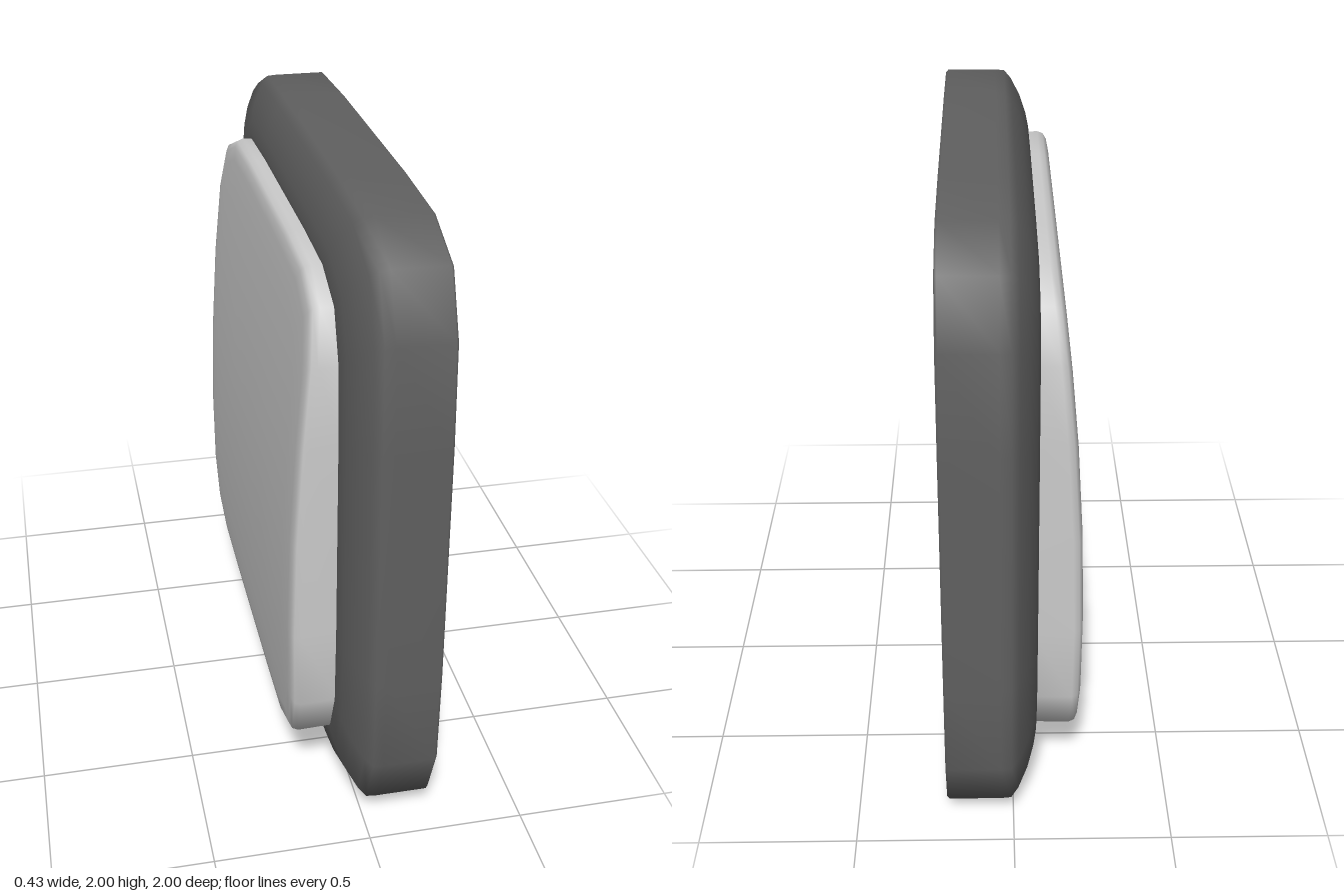
import * as THREE from 'three';

// Softly bulged square outline with chamfered corners, as [z, y], counterclockwise
const quarter = [[1, -0.4], [1, 0], [1, 0.4], [0.988, 0.72], [0.91, 0.91], [0.72, 0.988]];
const outline = [];
for (let q = 0; q < 4; q++) {
  for (const [z, y] of quarter) {
    outline.push([[z, y], [-y, z], [-z, -y], [y, -z]][q]);
  }
}

// Smooth skin through scaled copies of the outline; xAt gives the depth of each ring point
function loft(rings, xAt) {
  const n = outline.length, pos = [], index = [];
  rings.forEach(([x, s]) => outline.forEach(([z, y]) => {
    pos.push(xAt(x, y * s), 1 + y * s, z * s);
  }));
  for (let j = 0; j < rings.length - 1; j++) {
    for (let i = 0; i < n; i++) {
      const a = j * n + i, b = j * n + (i + 1) % n;
      index.push(a, b, b + n);
      if (rings[j + 1][1] > 0) index.push(a, b + n, a + n);
      else index[index.length - 1] = (j + 1) * n; // shared centre vertex
    }
  }
  const geo = new THREE.BufferGeometry();
  geo.setAttribute('position', new THREE.Float32BufferAttribute(pos, 3));
  geo.setIndex(index);
  geo.computeVertexNormals();
  return geo;
}

function addPart(group, name, geometry, color) {
  const material = new THREE.MeshStandardMaterial({ color, side: THREE.DoubleSide });
  const mesh = new THREE.Mesh(geometry, material);
  mesh.name = name;
  group.add(mesh);
}

export function createModel() {
  const group = new THREE.Group();
  group.name = 'framedPanel';

  // Open rim: straight wall, rounded shoulder, narrow inner lip
  const rim = [
    [0.213, 0.993], [0.205, 1], [0.04, 1], [0.008, 0.998], [-0.015, 0.975],
    [-0.045, 0.925], [-0.066, 0.87], [-0.075, 0.83], [-0.075, 0.81],
  ];
  addPart(group, 'rim', loft(rim, (x) => x), 0x606060);

  // Hollow panel: side wall from the lip, soft edge, face bowed towards the bottom
  const face = (y) => -0.217 + 0.055 * (y + 0.4) ** 2;
  const wallBase = [-0.06, 0.813];
  const panel = [
    [0.03, 0.815], [0.012, 0.809], [0.003, 0.792], [0, 0.755],
    [0, 0.65], [0, 0.5], [0, 0.3], [0, 0],
  ];
  addPart(group, 'panel', loft([wallBase, ...panel],
    (x, y) => (x === wallBase[0] ? x : face(y) + x)), 0xcccccc);

  return group;
}
